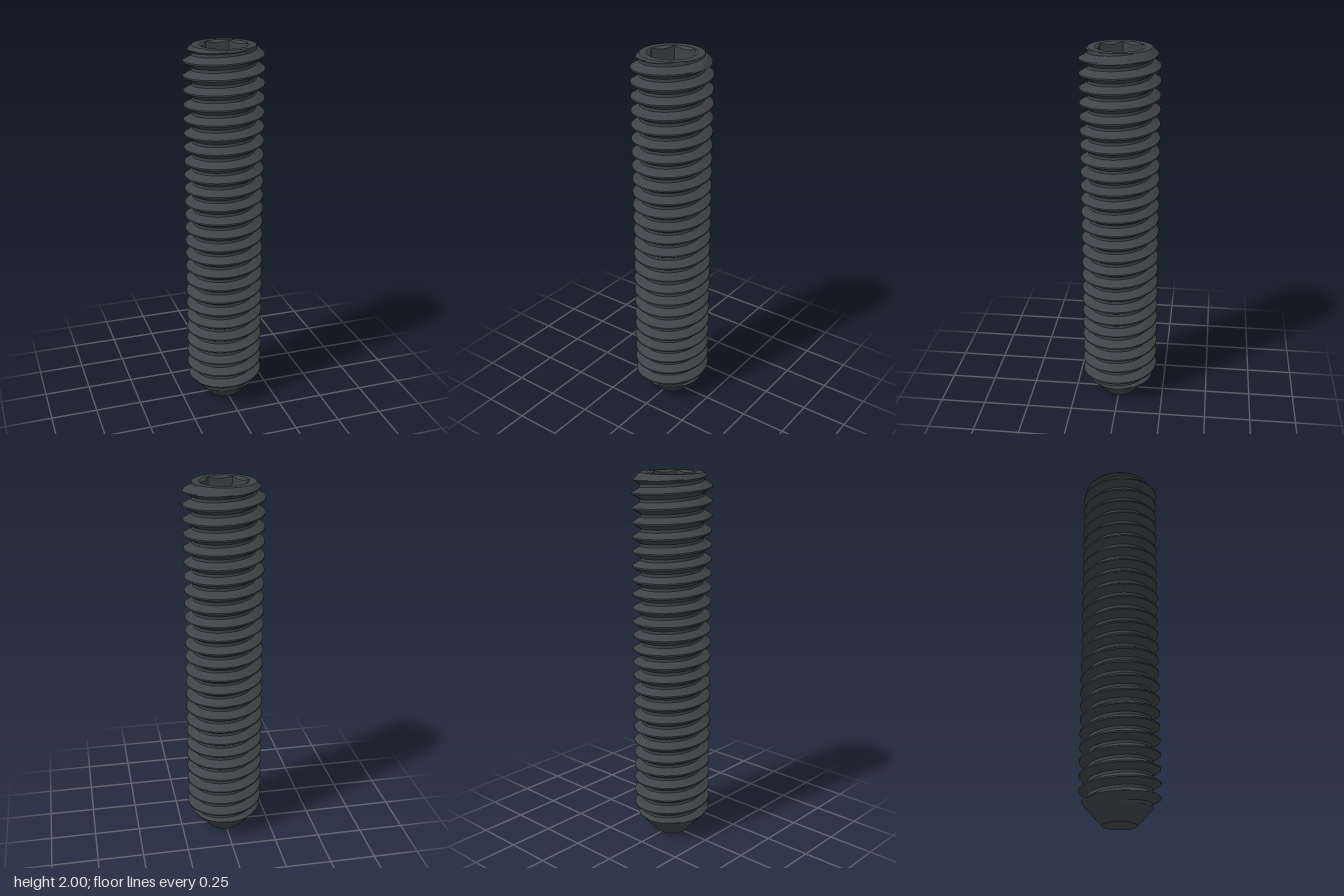
import * as THREE from 'three';
import { toCreasedNormals } from 'three/addons/utils/BufferGeometryUtils.js';

const HEIGHT = 2, SEGMENTS = 72;
const PITCH = 0.0752, CREST_Y = 0.154;
const MAJOR_R = 0.208, ROOT_R = 0.165;
const TOP_R = 0.163, TIP_R = 0.09;
const SOCKET_R = 0.1265, SOCKET_FLAT = 0.109, SOCKET_DEPTH = 0.2;

// Skins a stack of rings; each ring is a function of the angle giving [radius, y].
function loft(rings) {
  const positions = [];
  const points = rings.map((ring) => Array.from({ length: SEGMENTS + 1 }, (_, j) => {
    const a = (j / SEGMENTS) * Math.PI * 2;
    const [r, y] = ring(a);
    return new THREE.Vector3(Math.cos(a) * r, y, -Math.sin(a) * r);
  }));
  const triangle = (a, b, c) => {
    const e = 1e-6;
    if (a.distanceTo(b) < e || b.distanceTo(c) < e || c.distanceTo(a) < e) return;
    for (const p of [a, b, c]) positions.push(p.x, p.y, p.z);
  };
  for (let i = 0; i < points.length - 1; i++) {
    for (let j = 0; j < SEGMENTS; j++) {
      const a = points[i][j], b = points[i][j + 1];
      const c = points[i + 1][j], d = points[i + 1][j + 1];
      triangle(a, b, d);
      triangle(a, d, c);
    }
  }
  const geometry = new THREE.BufferGeometry();
  geometry.setAttribute('position', new THREE.Float32BufferAttribute(positions, 3));
  // Scaled up while creasing so that close vertices stay distinct.
  geometry.scale(100, 100, 100);
  const creased = toCreasedNormals(geometry, 0.5);
  creased.scale(0.01, 0.01, 0.01);
  return creased;
}

// Right-hand thread, cut by the cone of the tip and the chamfer of the top.
function threadGeometry() {
  const crestHalf = 0.05, rootStart = 0.4, steps = 6;
  const offsets = [];
  for (let i = 0; i <= steps; i++) offsets.push(THREE.MathUtils.lerp(crestHalf, rootStart, i / steps));
  for (let i = 0; i <= steps; i++) offsets.push(THREE.MathUtils.lerp(1 - rootStart, 1 - crestHalf, i / steps));

  const rings = [];
  for (let turn = -4; turn <= 26; turn++) {
    for (const u of offsets) {
      const fromCrest = Math.min(u, 1 - u);
      const threadR = THREE.MathUtils.mapLinear(fromCrest, crestHalf, rootStart, MAJOR_R, ROOT_R);
      rings.push((a) => {
        const rise = CREST_Y + PITCH * (turn + u + a / (Math.PI * 2));
        const y = THREE.MathUtils.clamp(rise, 0, HEIGHT);
        return [Math.min(threadR, TIP_R + y * 0.9, TOP_R + (HEIGHT - y)), y];
      });
    }
  }
  return loft(rings);
}

// Radius of the hexagon at an angle, with corners on the x axis.
function hexRadius(a) {
  const sector = Math.PI / 3;
  return SOCKET_FLAT / Math.cos((a % sector) - sector / 2);
}

export function createModel() {
  const group = new THREE.Group();
  group.name = 'setScrew';
  const material = new THREE.MeshStandardMaterial({ color: 0x3f4246 });
  const add = (name, geometry) => {
    const mesh = new THREE.Mesh(geometry, material);
    mesh.name = name;
    group.add(mesh);
  };

  add('threadedShaft', threadGeometry());

  // Hollow cone in the tip
  add('cupPoint', loft([() => [0, 0.055], () => [TIP_R, 0]]));

  // Flat end around the socket
  add('topFace', loft([() => [TOP_R, HEIGHT], () => [SOCKET_R, HEIGHT]]));

  // Countersunk hexagonal socket with a flat floor
  const floorY = HEIGHT - SOCKET_DEPTH;
  add('hexSocket', loft([
    () => [SOCKET_R, HEIGHT],
    (a) => [hexRadius(a), HEIGHT - (SOCKET_R - hexRadius(a)) * 0.7],
    (a) => [hexRadius(a), floorY],
    () => [0, floorY],
  ]));

  return group;
}
